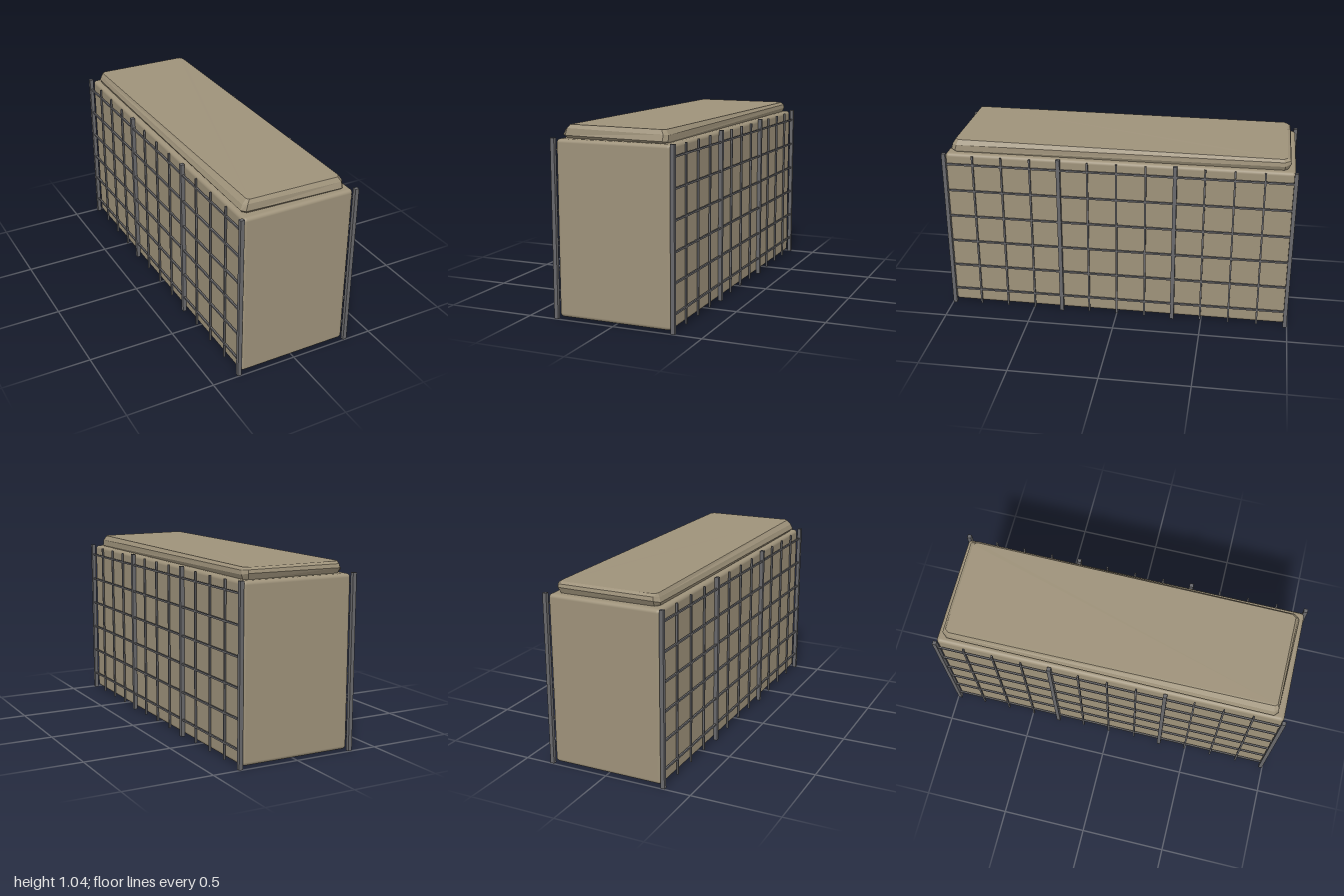
import * as THREE from 'three';
import { RoundedBoxGeometry } from 'three/addons/geometries/RoundedBoxGeometry.js';

// Closed solid from stacked rings of [x, y, z], each running front-left to front-right to back
function loftRings(rings) {
  const n = rings[0].length, index = [];
  const last = (rings.length - 1) * n;
  for (let r = 0; r < rings.length - 1; r++) {
    for (let i = 0; i < n; i++) {
      const a = r * n + i, b = r * n + (i + 1) % n;
      index.push(a, b, b + n, a, b + n, a + n);
    }
  }
  for (let i = 1; i < n - 1; i++) {
    index.push(0, i + 1, i);
    index.push(last, last + i, last + i + 1);
  }
  const geometry = new THREE.BufferGeometry();
  geometry.setAttribute('position', new THREE.Float32BufferAttribute(rings.flat(2), 3));
  geometry.setIndex(index);
  const flat = geometry.toNonIndexed();
  flat.computeVertexNormals();
  return flat;
}

export function createModel() {
  const model = new THREE.Group();
  model.name = 'meshBarrier';

  const cloth = new THREE.MeshStandardMaterial({ color: 0x9e927a });
  cloth.name = 'tan cloth';
  const steel = new THREE.MeshStandardMaterial({ color: 0x68686b });
  steel.name = 'grey steel';

  const add = (parent, name, geometry, material, x = 0, y = 0, z = 0) => {
    const mesh = new THREE.Mesh(geometry, material);
    mesh.name = name;
    mesh.position.set(x, y, z);
    parent.add(mesh);
  };

  // Filled body with softly rounded edges
  add(model, 'body', new RoundedBoxGeometry(0.65, 0.955, 1.97, 3, 0.02), cloth, 0, 0.4875, 0);

  // Crooked, bevelled filling on top
  const lid = loftRings([
    [[-0.28, 0.962, 0.93], [0.26, 0.962, 0.945], [0.285, 0.962, 0.92],
      [0.29, 0.962, -0.92], [0.27, 0.962, -0.94], [-0.27, 0.962, -0.935], [-0.29, 0.962, -0.91], [-0.295, 0.962, 0.91]],
    [[-0.29, 0.98, 0.945], [0.27, 0.975, 0.96], [0.29, 0.972, 0.935],
      [0.303, 0.99, -0.925], [0.28, 0.998, -0.957], [-0.275, 0.995, -0.955], [-0.3, 0.985, -0.925], [-0.312, 0.982, 0.925]],
    [[-0.28, 1.018, 0.942], [0.27, 1.008, 0.95], [0.289, 1.005, 0.925],
      [0.3, 1.012, -0.92], [0.28, 1.016, -0.953], [-0.27, 1.016, -0.95], [-0.292, 1.01, -0.92], [-0.3, 1.01, 0.92]],
    [[-0.265, 1.037, 0.93], [0.255, 1.033, 0.935], [0.272, 1.032, 0.915],
      [0.285, 1.026, -0.915], [0.268, 1.027, -0.935], [-0.265, 1.029, -0.935], [-0.282, 1.029, -0.915], [-0.275, 1.036, 0.915]],
  ]);
  add(model, 'topFilling', lid, cloth);

  // Steel mesh panel on each long side
  const post = new THREE.BoxGeometry(0.022, 0.97, 0.022);
  const upright = new THREE.BoxGeometry(0.01, 0.955, 0.01);
  const rail = new THREE.BoxGeometry(0.01, 0.01, 1.97);
  for (const side of [1, -1]) {
    const panel = new THREE.Group();
    panel.name = side > 0 ? 'leftPanel' : 'rightPanel';
    const x = side * 0.339;
    for (let i = 0; i <= 12; i++) {
      const z = -0.987 + i * 0.1645;
      if (i % 4 === 0) add(panel, 'post', post, steel, x, 0.485, z);
      else add(panel, 'uprightWire', upright, steel, x, 0.4825, z);
    }
    for (let i = 0; i < 6; i++) {
      add(panel, 'railWire', rail, steel, x, 0.098 + i * 0.1615, 0);
    }
    model.add(panel);
  }
  return model;
}
